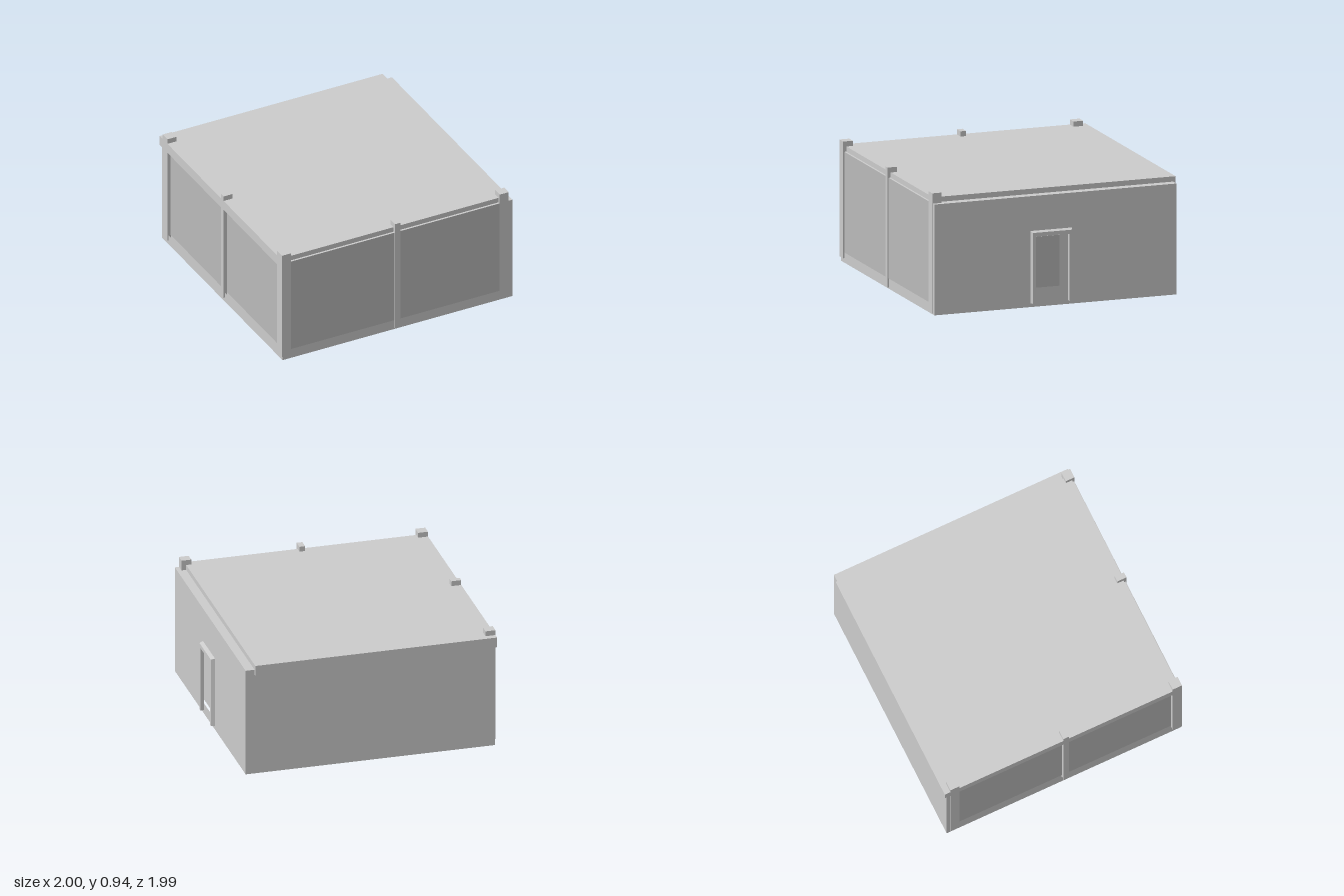
import * as THREE from 'three';

const wallMat = new THREE.MeshStandardMaterial({ color: 0xcccccc });
const glassMat = new THREE.MeshStandardMaterial({ color: 0xbababa });

export function createModel() {
  const model = new THREE.Group();

  const add = (name, geometry, material = wallMat) => {
    const mesh = new THREE.Mesh(geometry, material);
    mesh.name = name;
    model.add(mesh);
    return mesh;
  };

  // Box given by its limits on each axis
  const box = (name, x0, x1, y0, y1, z0, z1, material) => {
    const geometry = new THREE.BoxGeometry(x1 - x0, y1 - y0, z1 - z0);
    geometry.translate((x0 + x1) / 2, (y0 + y1) / 2, (z0 + z1) / 2);
    return add(name, geometry, material);
  };

  // Outlines lie in the z-y plane and are extruded along x
  const rect = (z0, z1, y0, y1) =>
    [[-z0, y0], [-z1, y0], [-z1, y1], [-z0, y1]].map(([u, v]) => new THREE.Vector2(u, v));
  const sidePlate = (x0, x1, outline, holes = []) => {
    const shape = new THREE.Shape(outline);
    holes.forEach((h) => shape.holes.push(new THREE.Path(h)));
    const geometry = new THREE.ExtrudeGeometry(shape, { depth: x1 - x0, bevelEnabled: false });
    return geometry.rotateY(Math.PI / 2).translate(x0, 0, 0);
  };

  // Main volume and roof
  box('buildingCore', -0.97, 0.9, 0, 0.86, -0.975, 0.985);
  box('roofSlab', -1, 0.9, 0.82, 0.9, -0.995, 0.97);

  // Right wall with the door opening
  add('rightWall', sidePlate(0.9, 0.97, rect(-0.975, 0.985, 0, 0.86),
    [rect(-0.095, 0.175, 0.085, 0.55)]));
  box('doorGlass', 0.9, 0.903, 0.13, 0.525, -0.055, 0.145, glassMat);

  // Door surround, its outer edge narrowing towards the front
  const surround = [[-0.128, 0.03], [-0.128, 0.59], [0.208, 0.59], [0.208, 0.03],
    [0.175, 0.03], [0.175, 0.55], [-0.095, 0.55], [-0.095, 0.03]]
    .map(([z, y]) => new THREE.Vector2(-z, y));
  const frame = sidePlate(0.97, 1, surround);
  const p = frame.attributes.position;
  for (let i = 0; i < p.count; i++) {
    if (p.getX(i) < 0.99) continue;
    const z = p.getZ(i);
    if (z < -0.12) p.setZ(i, z + 0.01);
    if (z > 0.2) p.setZ(i, z - 0.01);
    if (p.getY(i) > 0.58) p.setY(i, 0.58);
  }
  frame.computeVertexNormals();
  add('doorSurround', frame);

  // Left wall with two recessed bays
  const leftBays = [[-0.87, 0], [0.045, 0.917]];
  add('leftWall', sidePlate(-0.99, -0.97, rect(-0.975, 0.985, 0, 0.86),
    leftBays.map(([a, b]) => rect(a, b, 0.08, 0.82))));
  leftBays.forEach(([a, b]) =>
    box('leftGlass', -0.973, -0.968, 0.08, 0.82, a, b, glassMat));

  // Front glazing, flush with the wall
  [[-0.92, -0.035], [0.01, 0.86]].forEach(([a, b]) =>
    box('frontGlass', a, b, 0.08, 0.86, 0.982, 0.987, glassMat));

  // Posts rising above the roof along the front and left
  box('cornerPost', -1, -0.922, 0.035, 0.94, 0.917, 0.995);
  box('frontMiddlePost', -0.035, 0.01, 0.01, 0.94, 0.917, 0.995);
  box('frontRightPost', 0.86, 0.937, 0.01, 0.94, 0.917, 0.99);
  box('leftMiddlePost', -1, -0.922, 0.035, 0.94, 0, 0.045);
  box('leftBackPost', -1, -0.922, 0.035, 0.94, -0.948, -0.87);

  return model;
}
